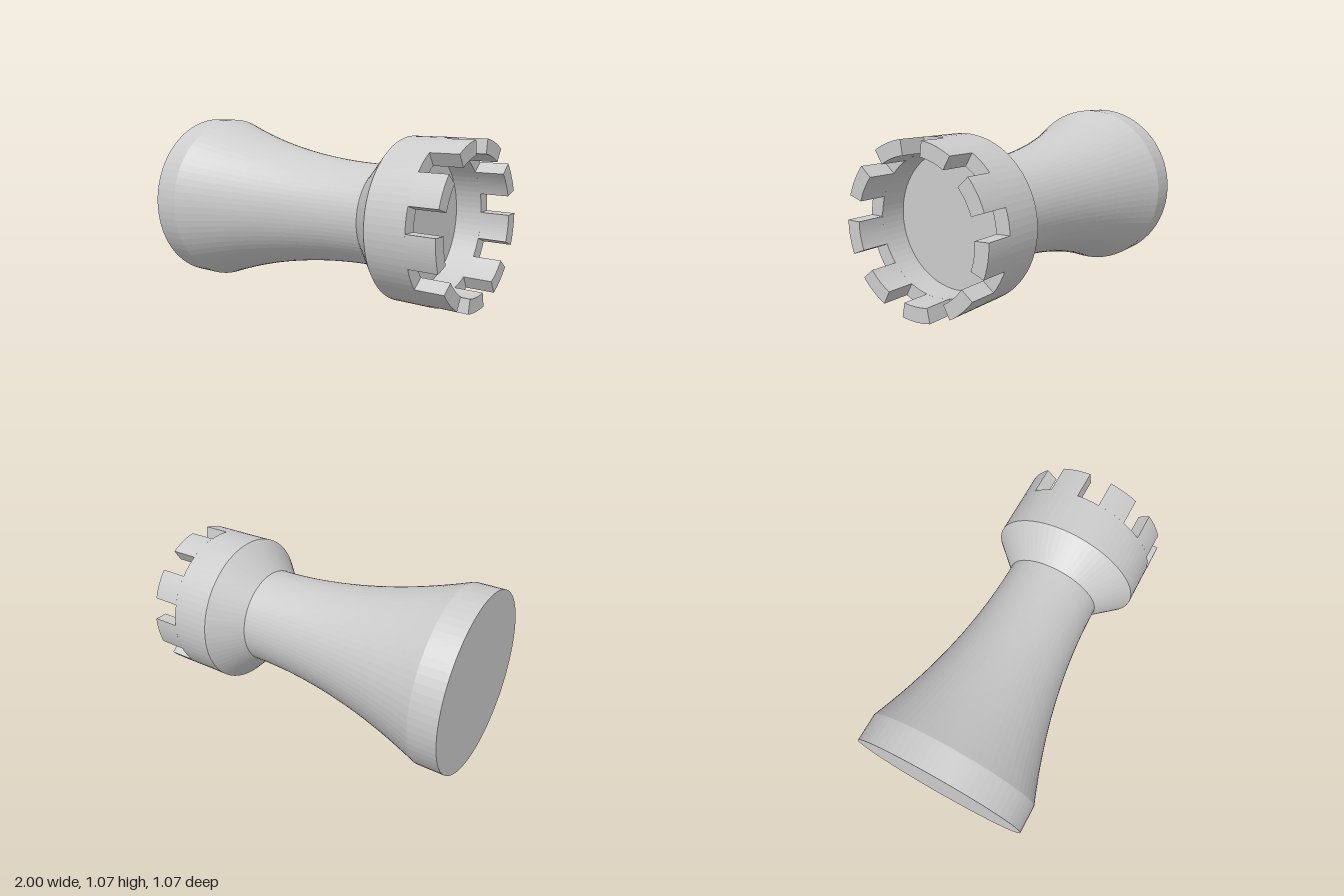
import * as THREE from 'three';

const AXIS_Y = 0.533; // height of the horizontal axis
const HEAD_R = 0.467, BORE_R = 0.385, WALL_TOP = 0.83;
const MERLONS = 9, MERLON_ANGLE = THREE.MathUtils.degToRad(23);

// Closed turned profile (radius, position along the axis)
function bodyProfile() {
  const pts = [[0, -1], [0.533, -1]];
  // Waist: flattens out into the neck
  const steps = 20, x0 = -0.835, x1 = 0.415;
  for (let i = 0; i <= steps; i++) {
    const t = i / steps;
    pts.push([0.297 + 0.236 * (1 - t) ** 2, x0 + (x1 - x0) * t]);
  }
  // Flared head, wall top, bore and bore floor
  pts.push([HEAD_R, 0.583], [HEAD_R, WALL_TOP], [BORE_R, WALL_TOP], [BORE_R, 0.67], [0, 0.67]);
  return pts.map(([r, x]) => new THREE.Vector2(r, x));
}

// One battlement block: a ring sector extruded along the axis
function merlonGeometry(centre) {
  const a = centre - MERLON_ANGLE / 2, b = centre + MERLON_ANGLE / 2;
  const shape = new THREE.Shape();
  shape.absarc(0, 0, HEAD_R, a, b, false);
  shape.absarc(0, 0, BORE_R, b, a, true);
  shape.closePath();
  const geo = new THREE.ExtrudeGeometry(shape, { depth: 1 - WALL_TOP, bevelEnabled: false, curveSegments: 5 });
  return geo.translate(0, 0, WALL_TOP).rotateY(Math.PI / 2);
}

export function createModel() {
  const model = new THREE.Group();
  model.name = 'lyingRook';
  const material = new THREE.MeshStandardMaterial({ color: 0xcccccc, flatShading: true });

  // Turned body, lying along x
  const body = new THREE.Mesh(new THREE.LatheGeometry(bodyProfile(), 72).rotateZ(-Math.PI / 2), material);
  body.name = 'body';
  body.position.y = AXIS_Y;
  model.add(body);

  // Battlements, with a gap at the top
  const battlements = new THREE.Group();
  battlements.name = 'battlements';
  battlements.position.y = AXIS_Y;
  for (let i = 0; i < MERLONS; i++) {
    const centre = Math.PI / 2 + ((i + 0.5) * 2 * Math.PI) / MERLONS;
    const merlon = new THREE.Mesh(merlonGeometry(centre), material);
    merlon.name = 'merlon';
    battlements.add(merlon);
  }
  model.add(battlements);
  return model;
}
